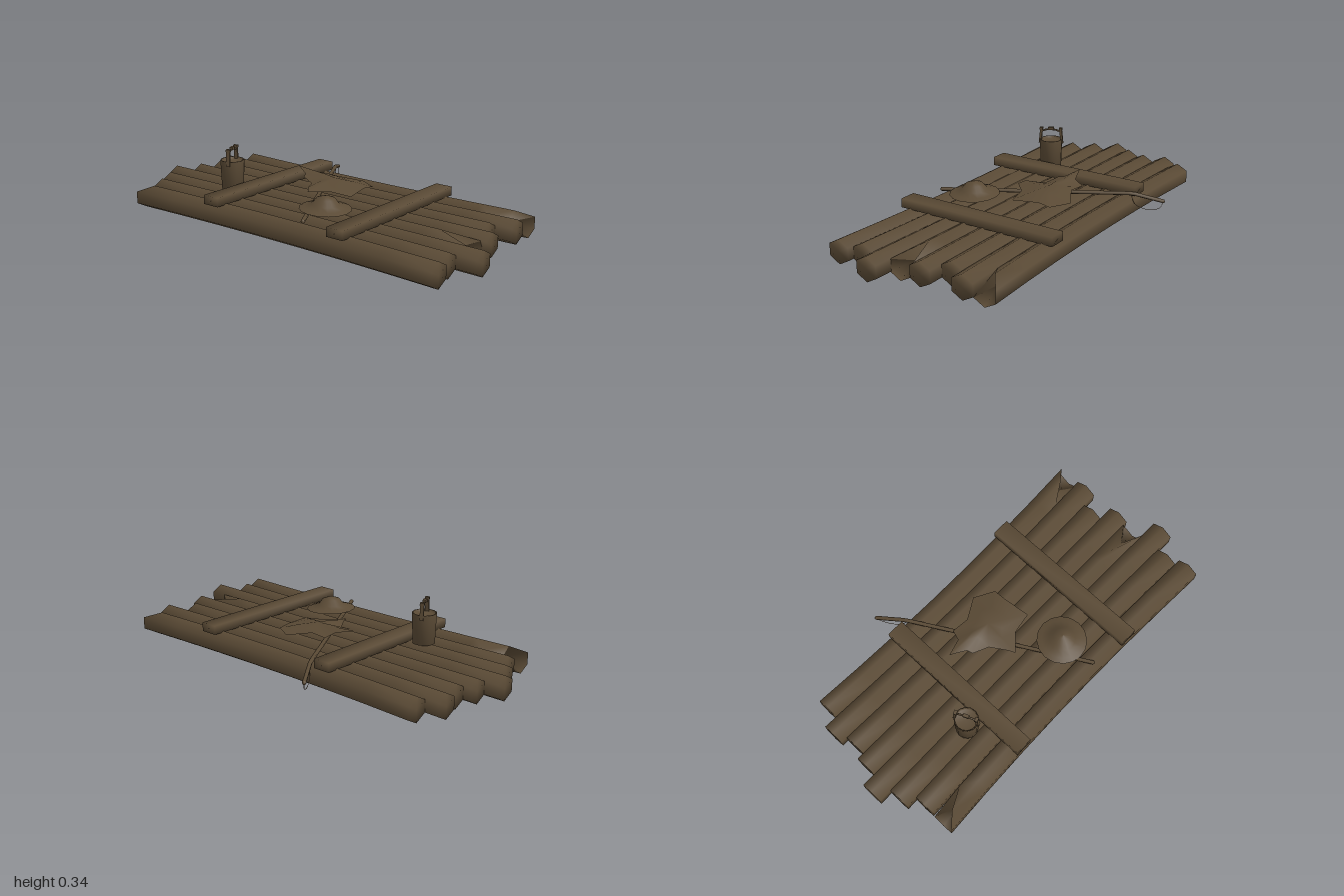
import * as THREE from 'three';
import { mergeVertices } from 'three/addons/utils/BufferGeometryUtils.js';

const wood = new THREE.MeshStandardMaterial({ color: 0x5a4a35, side: THREE.DoubleSide });
wood.name = 'weathered brown';

const V = (x, y, z) => new THREE.Vector3(x, y, z);

function part(name, geometry, parent, x = 0, y = 0, z = 0) {
  const mesh = new THREE.Mesh(geometry, wood);
  mesh.name = name;
  mesh.position.set(x, y, z);
  parent.add(mesh);
  return mesh;
}

function buildGeometry(positions, index) {
  const g = new THREE.BufferGeometry();
  g.setAttribute('position', new THREE.Float32BufferAttribute(positions, 3));
  g.setIndex(index);
  g.computeVertexNormals();
  return g;
}

// Box whose corners share normals, for softly shaded beams
function softBox(w, h, d) {
  const g = new THREE.BoxGeometry(w, h, d);
  g.deleteAttribute('uv');
  g.deleteAttribute('normal');
  const merged = mergeVertices(g);
  merged.computeVertexNormals();
  return merged;
}

// Six-sided log; corners of either end can be recessed to make a split, hollow end
function logGeometry(cx, back, front, split = {}) {
  const rings = 7, pos = [], idx = [], midY = 0.061;
  const flare = z => 0.94 + 0.06 * Math.min(1, z * z * 1.25);
  const add = (dx, y, z) => pos.push(-0.06 + (cx + 0.06 + dx) * flare(z), y, z);
  for (let i = 0; i <= rings; i++) {
    const recess = i === 0 ? split.back : i === rings ? split.front : null;
    for (let j = 0; j < 6; j++) {
      const a = Math.PI / 2 + j * Math.PI / 3;
      const z = back + (front - back) * i / rings + (recess ? recess[j] : 0);
      add(Math.cos(a) * 0.0655, midY + Math.sin(a) * 0.061, z);
    }
  }
  for (let i = 0; i < rings; i++) for (let j = 0; j < 6; j++) {
    const a = i * 6 + j, b = i * 6 + (j + 1) % 6;
    idx.push(a, b, b + 6, a, b + 6, a + 6);
  }
  const c = pos.length / 3, last = rings * 6;
  add(0, midY, back + (split.back ? 0.1 : 0));
  add(0, midY, front - (split.front ? 0.1 : 0));
  for (let j = 0; j < 6; j++) {
    const k = (j + 1) % 6;
    idx.push(c, k, j, c + 1, last + j, last + k);
  }
  return buildGeometry(pos, idx);
}

// Raft deck: x centre, back end, front end, optional split
function addLogs(group) {
  const logs = [
    [-0.455, -0.87, 0.92, { back: [0.07, 0, 0, 0, 0, 0.18] }],
    [-0.337, -0.87, 0.89],
    [-0.225, -0.93, 0.99],
    [-0.113, -1.0, 0.90, { front: [-0.2, 0, 0, 0, 0, -0.02] }],
    [-0.002, -0.93, 0.90],
    [0.11, -0.895, 0.82],
    [0.225, -0.93, 0.90],
    [0.34, -0.86, 0.90, { front: [-0.08, -0.18, 0, 0, 0, 0] }],
  ];
  logs.forEach(([x, back, front, split], i) =>
    part('deckLog' + (i + 1), logGeometry(x, back, front, split), group));
}

function addBucket(parent) {
  const bucket = new THREE.Group();
  bucket.name = 'bucket';
  bucket.position.set(-0.225, 0.12, -0.465);
  bucket.rotation.y = 0.42;
  parent.add(bucket);
  const profile = [[0, 0], [0.055, 0], [0.06, 0.15], [0.054, 0.15], [0.052, 0.135], [0, 0.135]];
  const g = new THREE.LatheGeometry(profile.map(p => new THREE.Vector2(...p)), 14);
  part('bucketBody', g, bucket);
  // Handle: two posts, arched grip and a top block
  for (const s of [-1, 1]) {
    const post = part('handlePost', new THREE.BoxGeometry(0.013, 0.085, 0.018), bucket, s * 0.055, 0.17, 0);
    post.rotation.z = s * 0.1;
    part('postCap', new THREE.BoxGeometry(0.016, 0.012, 0.022), bucket, s * 0.052, 0.207, 0);
  }
  const arch = new THREE.CatmullRomCurve3([V(-0.055, 0.19, 0), V(-0.025, 0.201, 0), V(0.025, 0.201, 0), V(0.055, 0.19, 0)]);
  part('handleGrip', new THREE.TubeGeometry(arch, 8, 0.005, 6), bucket);
  part('handleBlock', new THREE.BoxGeometry(0.03, 0.014, 0.016), bucket, 0, 0.208, 0);
}

function addCloth(parent) {
  // Crumpled sheet: inner ring of folds around a raised centre
  const edge = [
    [0.07, 0.207, -0.28], [0.1, 0.185, -0.19], [0.155, 0.168, -0.17], [0.145, 0.17, -0.08],
    [0.21, 0.15, 0.03], [0.155, 0.15, 0.13], [0.09, 0.16, 0.13], [-0.05, 0.15, 0.15],
    [-0.07, 0.16, 0.04], [-0.145, 0.16, -0.04], [-0.115, 0.176, -0.06], [-0.03, 0.165, -0.11],
    [0.0, 0.18, -0.19], [0.03, 0.185, -0.2],
  ];
  const n = edge.length, pos = [], idx = [], c = [0.05, 0.192, -0.03];
  edge.forEach(p => pos.push(...p));
  edge.forEach((p, i) => pos.push(
    (p[0] + c[0]) / 2, (p[1] + c[1]) / 2 + (i % 2 ? 0.003 : -0.004), (p[2] + c[2]) / 2));
  pos.push(...c);
  for (let i = 0; i < n; i++) {
    const j = (i + 1) % n;
    idx.push(i, n + j, j, i, n + i, n + j, n + i, 2 * n, n + j);
  }
  // Corners run clockwise from above, so flip to face up
  for (let k = 0; k < idx.length; k += 3) [idx[k + 1], idx[k + 2]] = [idx[k + 2], idx[k + 1]];
  part('cloth', buildGeometry(pos, idx), parent);
}

function addRod(parent) {
  // Straight pole with its tip drooping over the side
  const rod = new THREE.CurvePath();
  const a = V(-0.45, 0.138, 0.19), b = V(0.375, 0.138, -0.285), tip = V(0.503, 0.097, -0.368);
  rod.add(new THREE.LineCurve3(a, b));
  rod.add(new THREE.LineCurve3(b, tip));
  part('rod', new THREE.TubeGeometry(rod, 30, 0.01, 6), parent);
  for (const p of [a, tip]) part('rodEnd', new THREE.SphereGeometry(0.01, 6, 4), parent, p.x, p.y, p.z);
  // Slack line
  const line = new THREE.CatmullRomCurve3([
    V(0.37, 0.13, -0.28), V(0.385, 0.085, -0.29), V(0.41, 0.062, -0.31),
    V(0.46, 0.05, -0.34), V(0.495, 0.066, -0.36), tip]);
  part('line', new THREE.TubeGeometry(line, 16, 0.0015, 4), parent);
}

export function createModel() {
  const raft = new THREE.Group();
  raft.name = 'raft';
  addLogs(raft);

  // Cross beams
  for (const z of [-0.353, 0.405])
    part('crossBeam', softBox(0.868, 0.045, 0.09), raft, -0.058, 0.1375, z);

  // Wide-brimmed conical hat
  const hat = [[0.125, 0], [0.1, 0.009], [0.065, 0.022], [0.045, 0.048], [0.015, 0.058], [0, 0.062]];
  const hatMesh = part('hat', new THREE.LatheGeometry(hat.map(p => new THREE.Vector2(...p)), 16),
    raft, -0.262, 0.15, 0.168);
  hatMesh.rotation.x = 0.04;

  addBucket(raft);
  addCloth(raft);
  addRod(raft);
  return raft;
}
